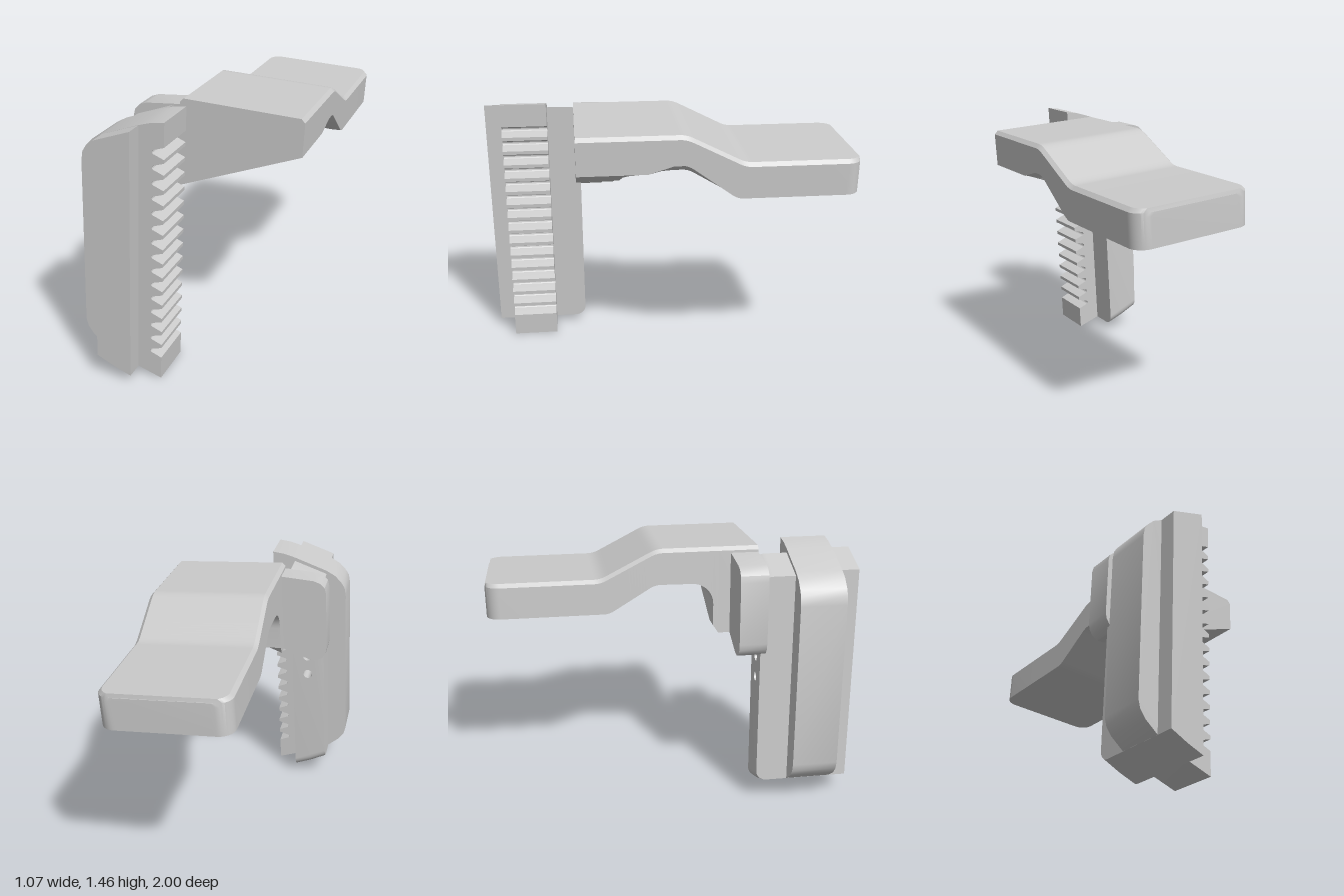
import * as THREE from 'three';
import { toCreasedNormals } from 'three/addons/utils/BufferGeometryUtils.js';

const TILT = -0.053;
const material = new THREE.MeshStandardMaterial({ color: 0xcccccc });

function addPart(group, name, geometry, crease = 0.5) {
  const flat = geometry.index ? geometry.toNonIndexed() : geometry;
  const mesh = new THREE.Mesh(toCreasedNormals(flat, crease), material);
  mesh.name = name;
  group.add(mesh);
}

const toShape = pts => new THREE.Shape(pts.map(p => new THREE.Vector2(p[0], p[1])));

function slab(shape, z0, z1, steps = 1) {
  const g = new THREE.ExtrudeGeometry(shape, { depth: z1 - z0, bevelEnabled: false, steps, curveSegments: 12 });
  return g.translate(0, 0, z0);
}

// Skin over counter-clockwise sections [{z, pts}] running from front to back, capped at both ends
function loft(sections) {
  const n = sections[0].pts.length, pos = [], idx = [];
  sections.forEach(s => s.pts.forEach(p => pos.push(p[0], p[1], s.z)));
  for (let s = 0; s < sections.length - 1; s++) {
    for (let i = 0; i < n; i++) {
      const a = s * n + i, b = s * n + (i + 1) % n;
      idx.push(a, a + n, b, b, a + n, b + n);
    }
  }
  const cap = k => THREE.ShapeUtils.triangulateShape(sections[k].pts.map(p => new THREE.Vector2(...p)), []);
  const last = sections.length - 1;
  cap(0).forEach(([a, b, c]) => idx.push(a, b, c));
  cap(last).forEach(([a, b, c]) => idx.push(last * n + a, last * n + c, last * n + b));
  const g = new THREE.BufferGeometry();
  g.setAttribute('position', new THREE.Float32BufferAttribute(pos, 3));
  g.setIndex(idx);
  return g;
}

// Toothed rack: rounded back, straight front edge cut by rounded valleys
function rackGeometry() {
  const pts = [[-0.108, 1.456], [-0.18, 1.442], [-0.246, 1.419], [-0.437, 1.339], [-0.49, 1.306], [-0.527, 1.264],
    [-0.547, 1.23], [-0.554, 1.18], [-0.554, 0.25], [-0.542, 0.205], [-0.51, 0.163], [-0.436, 0.107],
    [-0.34, 0.065], [-0.242, 0.032], [-0.108, -0.006]];
  const pitch = 0.0816;
  for (let i = 0; i < 15; i++) {
    const y = 0.156 + i * pitch;
    pts.push([-0.108, y - 0.031], [-0.157, y - 0.013]);
    for (let k = 1; k < 6; k++) {
      const a = -Math.PI / 2 + k * Math.PI / 6;
      pts.push([-0.157 - 0.014 * Math.cos(a), y + 0.013 * Math.sin(a)]);
    }
    pts.push([-0.157, y + 0.013], [-0.108, y + 0.031]);
  }
  return slab(toShape(pts), 0.65, 0.905);
}

// Guide bar: square front half, and a back half with two holes and rounded ends
const barOutline = top => toShape([[-0.437, 0.107], [-0.34, 0.065], [-0.242, 0.032],
  [-0.242, 1.419 - top], [-0.437, 1.339 - top]]);

function backBarGeometry() {
  const shape = barOutline(0.02);
  for (const y of [0.72, 0.84]) {
    shape.holes.push(new THREE.Path().absarc(-0.335, y, 0.028, 0, Math.PI * 2, true));
  }
  const steps = 8, r = 0.06, g = slab(shape, 0, 1, steps), p = g.attributes.position;
  for (let i = 0; i < p.count; i++) {
    const k = Math.round(p.getZ(i) * steps), y = p.getY(i);
    const a = Math.min(k, steps - 1) / (steps - 1) * Math.PI / 2;
    p.setZ(i, k === steps ? 0.66 : 0.47 + r * (1 - Math.cos(a)));
    const lift = r * (1 - Math.sin(a));
    if (y < 0.2) p.setY(i, y + lift);
    else if (y > 1.2) p.setY(i, y - lift * 0.6);
  }
  return g;
}

// Smooth step down from 0 to -drop between z0 and z1, with softened bends
function sBend(z, z0, z1, drop) {
  const t = THREE.MathUtils.clamp((z0 - z) / (z0 - z1), 0, 1), e = 0.18;
  const ramp = u => u < e ? u * u / (2 * e) : u - e / 2;
  const f = t < 0.5 ? ramp(t) : 1 - e - ramp(1 - t);
  return -drop * f / (1 - e);
}

// Arm: stepped lever with a sloping gusset below its front end
function armGeometry() {
  const XL = -0.21, XR = 0.457, bevel = 0.02, n = 40, r = 0.08;
  const stations = [[0.5, -9], [0.28, -9], [0.25, 0.99]];
  for (let k = 0; k <= 10; k++) {
    const a = k / 10 * Math.PI / 2;
    stations.push([0.13 + 0.12 * Math.cos(a), 1.116 + 0.12 * Math.sin(a)]);
  }
  for (let k = 0; k <= 28; k++) stations.push([-k * 0.015, 9]);
  stations.push([-0.6, 9]);
  for (let k = 0; k <= 10; k++) stations.push([-1 + r * (1 - Math.sin(k / 10 * Math.PI / 2)), 9]);

  return loft(stations.map(([z, floor]) => {
    const d = Math.max(0, r - (z + 1));
    const inset = r - Math.sqrt(Math.max(0, r * r - d * d));
    const x0 = XL + inset, x1 = XR - inset;
    const top = 1.436 + sBend(z, -0.03, -0.41, 0.157) - (z < -0.995 ? bevel : 0);
    const under = 1.238 + sBend(z, -0.05, -0.36, 0.153);
    const fade = THREE.MathUtils.clamp((z + 0.36) / 0.3, 0, 1);
    const pts = [];
    for (let i = 0; i <= n; i++) {
      const x = x0 + (x1 - x0) * i / n;
      const armY = under + fade * Math.max(0, x - 0.406) * 0.75;
      const slope = 0.962 + 0.435 * (x + 0.171);
      pts.push([x, Math.min(armY, Math.max(slope, floor))]);
    }
    pts.push([x1, top - bevel], [x1 - bevel, top], [x0 + bevel, top], [x0, top - bevel]);
    return { z, pts };
  }));
}

// Mounting plate joining the arm to the back of the bar
function plateGeometry() {
  return slab(toShape([[-0.15, 0.971], [-0.37, 0.878], [-0.41, 0.874], [-0.445, 0.892], [-0.465, 0.92], [-0.472, 0.955],
    [-0.472, 1.3], [-0.464, 1.335], [-0.44, 1.362], [-0.4, 1.378], [-0.15, 1.41]]), 0.345, 0.498);
}

export function createModel() {
  const model = new THREE.Group();
  model.name = 'rackLever';
  const body = new THREE.Group();
  body.name = 'tiltedBody';
  body.rotation.z = TILT;
  addPart(body, 'toothedRack', rackGeometry());
  addPart(body, 'frontGuideBar', slab(barOutline(0), 0.66, 1));
  addPart(body, 'backGuideBar', backBarGeometry());
  addPart(body, 'mountingPlate', plateGeometry());
  addPart(body, 'leverArm', armGeometry());
  model.add(body);
  return model;
}
